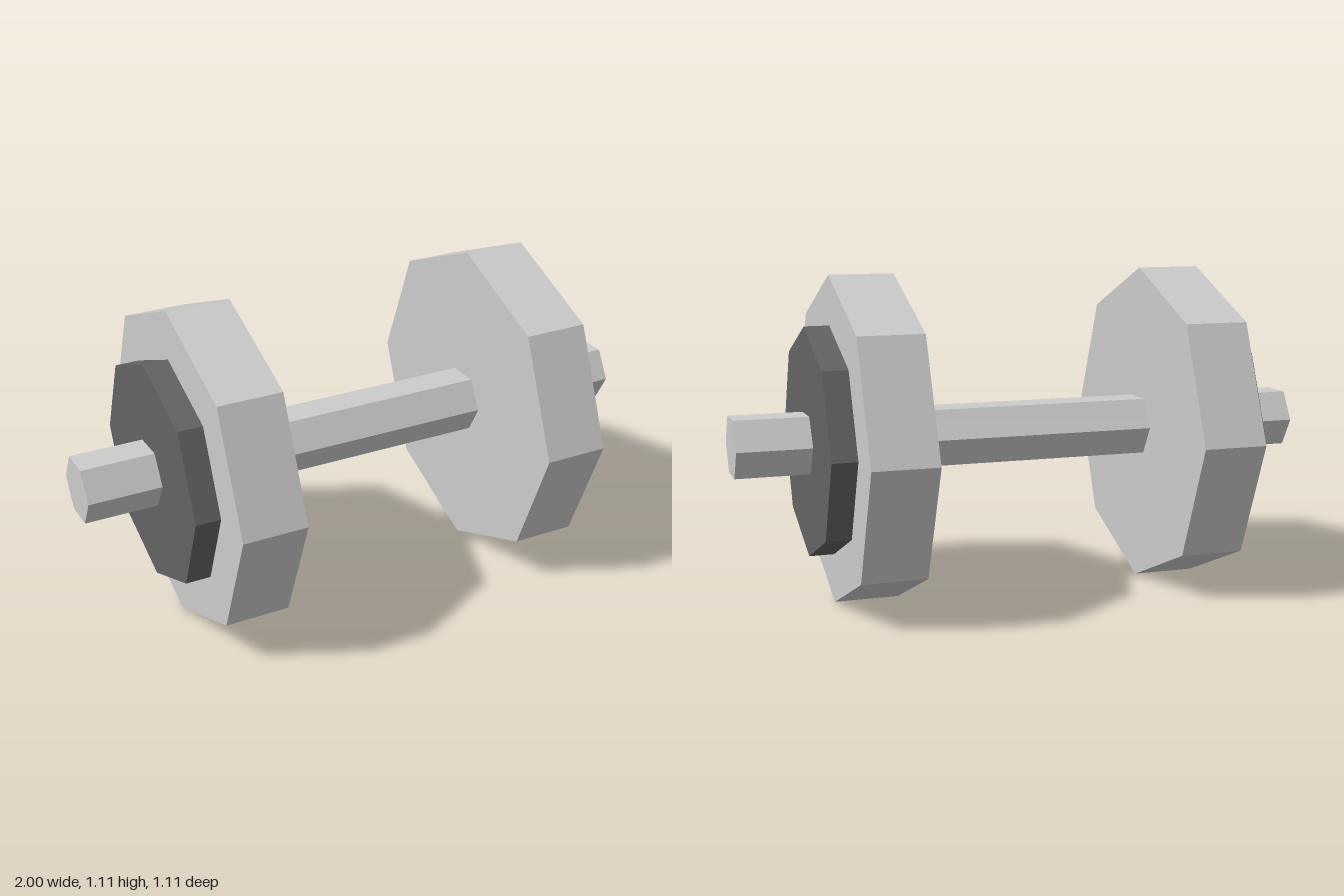
import * as THREE from 'three';

export function createModel() {
  const group = new THREE.Group();
  const steel = new THREE.MeshStandardMaterial({ color: 0xcccccc, flatShading: true });
  const dark = new THREE.MeshStandardMaterial({ color: 0x636363, flatShading: true });
  const axisY = 0.555;

  // Faceted prism lying along x from x0 to x1
  function prism(name, radius, sides, x0, x1, material) {
    const geometry = new THREE.CylinderGeometry(radius, radius, Math.abs(x1 - x0), sides);
    geometry.rotateZ(-Math.PI / 2);
    const mesh = new THREE.Mesh(geometry, material);
    mesh.name = name;
    mesh.position.set((x0 + x1) / 2, axisY, 0);
    group.add(mesh);
  }

  // Hexagonal bar running through everything
  prism('bar', 0.111, 6, -1, 1, steel);

  // Octagonal weight and smaller outer plate at each end
  for (const [side, s] of [['left', 1], ['right', -1]]) {
    prism(side + 'Weight', 0.555, 8, s * 0.445, s * 0.665, steel);
    prism(side + 'OuterPlate', 0.388, 8, s * 0.665, s * 0.75, dark);
  }
  return group;
}
